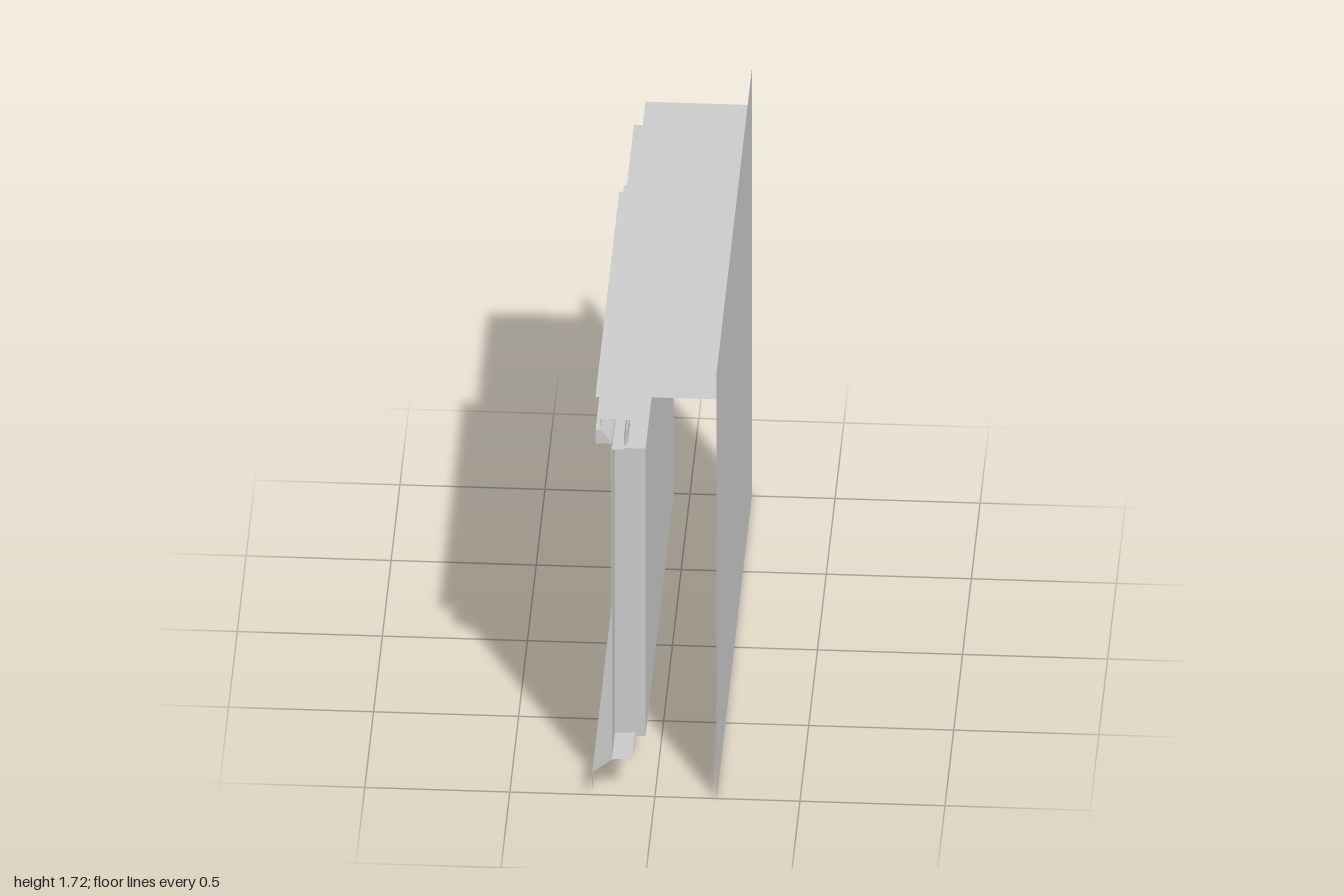
import * as THREE from 'three';

const material = new THREE.MeshStandardMaterial({ color: 0xcccccc, side: THREE.DoubleSide, flatShading: true });

// Folded thin sheet: an (x, y) profile swept along z from z0 to z1
function sheet(name, profile, z0, z1) {
  const pos = [];
  for (let i = 0; i < profile.length - 1; i++) {
    const [ax, ay] = profile[i];
    const [bx, by] = profile[i + 1];
    pos.push(ax, ay, z0, ax, ay, z1, bx, by, z1);
    pos.push(ax, ay, z0, bx, by, z1, bx, by, z0);
  }
  const g = new THREE.BufferGeometry();
  g.setAttribute('position', new THREE.Float32BufferAttribute(pos, 3));
  g.computeVertexNormals();
  const mesh = new THREE.Mesh(g, material);
  mesh.name = name;
  return mesh;
}

// Box given by its limits on each axis
function box(name, x0, x1, y0, y1, z0, z1) {
  const mesh = new THREE.Mesh(new THREE.BoxGeometry(x1 - x0, y1 - y0, z1 - z0), material);
  mesh.position.set((x0 + x1) / 2, (y0 + y1) / 2, (z0 + z1) / 2);
  mesh.name = name;
  return mesh;
}

function rect(path, z0, z1, y0, y1) {
  path.moveTo(z0, y0);
  path.lineTo(z1, y0);
  path.lineTo(z1, y1);
  path.lineTo(z0, y1);
  path.closePath();
  return path;
}

export function createModel() {
  const group = new THREE.Group();
  group.name = 'windowWall';
  const zBack = -0.945, zFront = 1;      // wall length
  const openBack = -0.765, openFront = 0.82; // window opening
  const openBottom = 0.135, openTop = 1.295;

  // Inner wall panel and the ceiling sheet
  group.add(sheet('innerPanel', [[0.213, 0], [0.213, 1.72]], -1, 1));
  group.add(sheet('ceiling', [[0.213, 1.61], [-0.15, 1.61]], zBack, zFront));
  group.add(sheet('roofFlashing', [[-0.14, 1.6], [-0.205, 1.605]], -0.355, zFront));

  // Outer wall with the window opening
  const shape = rect(new THREE.Shape(), zBack, zFront, 0.14, 1.42);
  shape.holes.push(rect(new THREE.Path(), openBack, openFront, 0.145, openTop));
  const wall = new THREE.Mesh(new THREE.ShapeGeometry(shape).rotateY(-Math.PI / 2), material);
  wall.position.x = -0.148;
  wall.name = 'outerWall';
  group.add(wall);

  // Cornice: top, fascia, bevel down to the wall, and return behind it
  group.add(sheet('cornice', [[-0.062, 1.515], [-0.19, 1.515], [-0.19, 1.475], [-0.148, 1.42]], zBack, zFront));
  group.add(sheet('corniceReturn', [[-0.148, 1.395], [-0.107, 1.395], [-0.107, 1.447]], zBack, zFront));

  // Sill: inner ledge, slope and drip fascia
  group.add(sheet('sill', [[-0.08, 0.15], [-0.148, 0.145], [-0.216, 0.09], [-0.216, 0.025]], zBack, zFront));

  // Window: jambs, head, pane and header trim
  for (const [name, z] of [['backJamb', openBack], ['frontJamb', openFront]]) {
    group.add(box(name, -0.16, -0.043, openBottom, openTop, z - 0.005, z + 0.005));
  }
  group.add(sheet('headJamb', [[-0.16, openTop], [-0.043, 1.29]], openBack, openFront));
  group.add(sheet('pane', [[-0.043, openBottom], [-0.043, 1.29]], openBack, openFront));
  group.add(box('headerTrim', -0.215, -0.105, 1.31, 1.365, -0.79, 0.825));

  return group;
}
